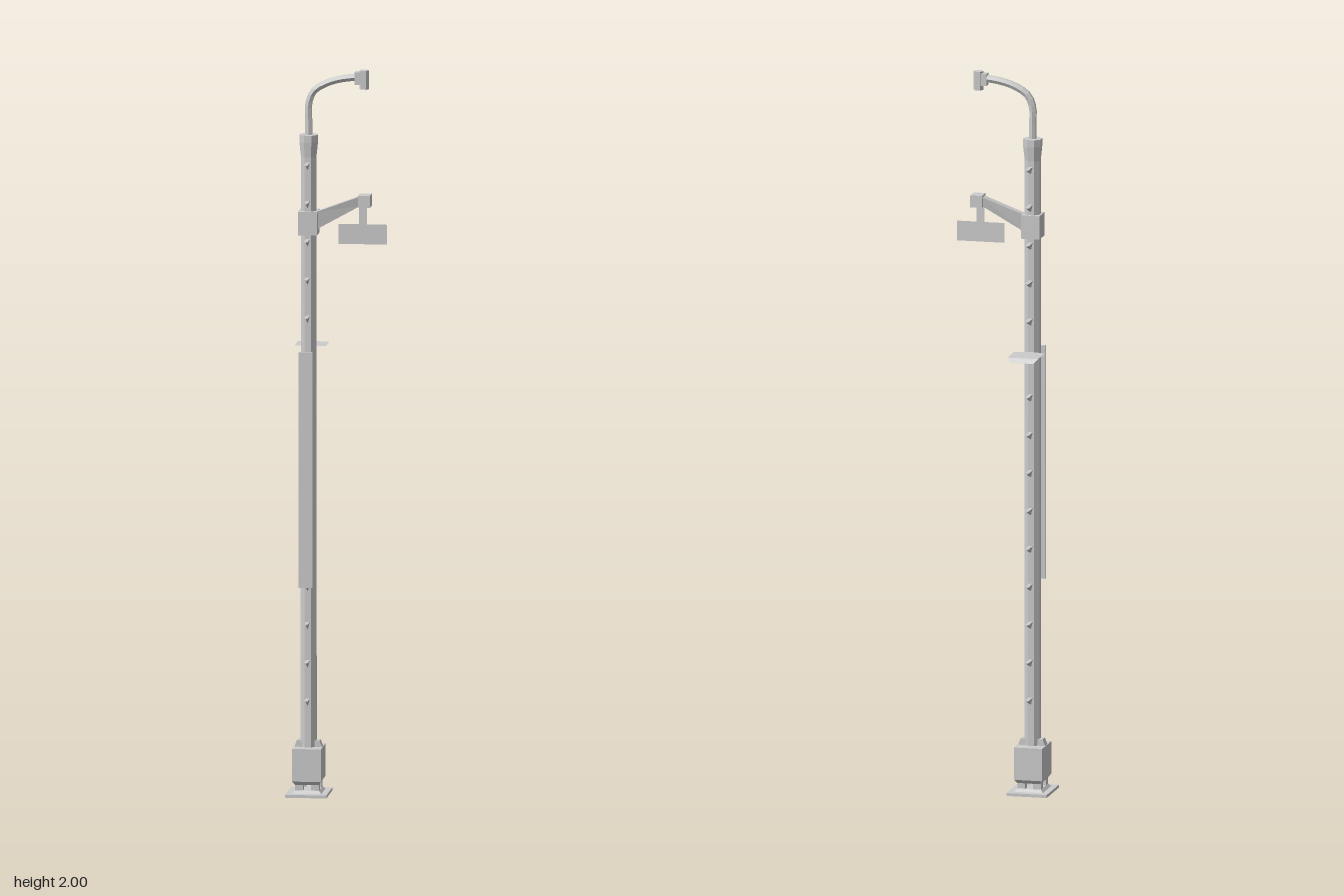
import * as THREE from 'three';

const PX = -0.082, PZ = 0.025; // pole axis

export function createModel() {
  const root = new THREE.Group();
  root.name = 'utilityPole';
  const mat = new THREE.MeshStandardMaterial({ color: 0xcccccc, flatShading: true });
  const thin = new THREE.MeshStandardMaterial({ color: 0xcccccc, flatShading: true, side: THREE.DoubleSide });

  // All positions are relative to the pole axis
  const pole = new THREE.Group();
  pole.name = 'poleAssembly';
  pole.position.set(PX, 0, PZ);
  root.add(pole);

  const add = (name, geo, x = 0, y = 0, z = 0, m = mat) => {
    const mesh = new THREE.Mesh(geo, m);
    mesh.name = name;
    mesh.position.set(x, y, z);
    pole.add(mesh);
    return mesh;
  };
  const box = (name, w, h, d, x, y, z) => add(name, new THREE.BoxGeometry(w, h, d), x, y, z);

  // Box whose top and bottom faces have different sizes
  const taper = (name, w0, d0, w1, d1, y0, y1) => {
    const g = new THREE.BoxGeometry(1, y1 - y0, 1);
    const p = g.attributes.position;
    for (let i = 0; i < p.count; i++) {
      const up = p.getY(i) > 0;
      p.setX(i, p.getX(i) * (up ? w1 : w0));
      p.setZ(i, p.getZ(i) * (up ? d1 : d0));
    }
    g.computeVertexNormals();
    return add(name, g, 0, (y0 + y1) / 2, 0);
  };

  // Solid between two equal rings, counter-clockwise as seen from the far end b
  const loft = (a, b) => {
    const n = a.length, tri = [];
    for (let i = 0; i < n; i++) {
      const j = (i + 1) % n;
      tri.push(a[i], a[j], b[j], a[i], b[j], b[i]);
    }
    for (let i = 1; i < n - 1; i++) tri.push(a[0], a[i + 1], a[i], b[0], b[i], b[i + 1]);
    const g = new THREE.BufferGeometry();
    g.setAttribute('position', new THREE.Float32BufferAttribute(tri.flat(), 3));
    g.computeVertexNormals();
    return g;
  };

  // Base plate, feet, square footing and the collar on top of it
  box('basePlate', 0.113, 0.008, 0.139, 0, 0.004, 0);
  taper('plinth', 0.08, 0.095, 0.066, 0.08, 0.008, 0.016);
  for (const sx of [-1, 1]) for (const sz of [-1, 1])
    box('foot', 0.022, 0.03, 0.022, sx * 0.022, 0.023, sz * 0.029);
  taper('footingChamfer', 0.064, 0.088, 0.079, 0.104, 0.032, 0.042);
  box('footing', 0.079, 0.09, 0.104, 0, 0.087, 0);
  taper('footingCollar', 0.076, 0.026, 0.062, 0.026, 0.132, 0.15);

  // Octagonal mast with a flared head
  const c = Math.cos(Math.PI / 8);
  const profile = [[0, 0.1], [0.021, 0.1], [0.0205, 1.76], [0.0245, 1.80], [0.0245, 1.82], [0, 1.82]]
    .map(([r, y]) => new THREE.Vector2(r / c, y));
  add('mast', new THREE.LatheGeometry(profile, 8, Math.PI / 8));

  // Climbing pegs: wedges with a flat top and a V-shaped underside
  const peg = loft(
    [[-0.0055, 0.005, 0.015], [0, -0.017, 0.015], [0.0055, 0.005, 0.015]],
    [[-0.0055, 0.005, 0.067], [0, 0.001, 0.067], [0.0055, 0.005, 0.067]]);
  for (let i = 0; i < 15; i++) {
    const y = 0.262 + i * 0.1056;
    add('frontPeg', peg, 0, y);
    add('backPeg', peg, 0, y).rotation.y = Math.PI;
  }

  // Long narrow board carried by the front pegs
  box('frontBoard', 0.038, 0.65, 0.006, 0, 0.905, 0.069);

  // Thin rear shelf reaching the mast, with a turned-down lip
  const s = new THREE.Shape();
  s.moveTo(-0.043, 0.039);
  s.lineTo(-0.043, 0.112);
  s.lineTo(0.043, 0.112);
  s.lineTo(0.043, 0.039);
  s.quadraticCurveTo(0, 0.018, -0.043, 0.039);
  const shelf = new THREE.ShapeGeometry(s, 8);
  shelf.rotateX(-Math.PI / 2);
  add('rearShelf', shelf, 0, 1.231, 0, thin);
  const lip = new THREE.BufferGeometry();
  lip.setAttribute('position', new THREE.Float32BufferAttribute([
    -0.043, 1.231, -0.112, 0.043, 1.231, -0.112, 0.032, 1.219, -0.122, -0.032, 1.219, -0.122], 3));
  lip.setIndex([0, 1, 2, 0, 2, 3]);
  lip.computeVertexNormals();
  add('rearShelfLip', lip, 0, 0, 0, thin);

  // Clamp and rising bracket arm with an end block
  box('bracketClamp', 0.052, 0.065, 0.058, 0, 1.578, 0);
  add('bracketArm', loft(
    [[0.024, 1.609, 0.012], [0.024, 1.56, 0.004], [0.024, 1.56, -0.004], [0.024, 1.609, -0.012]],
    [[0.142, 1.653, 0.012], [0.142, 1.626, 0.006], [0.142, 1.626, -0.006], [0.142, 1.653, -0.012]]));
  box('bracketEnd', 0.033, 0.033, 0.04, 0.154, 1.64, 0);

  // Flat hanging sign with its strap, near the front of the end block
  const sign = new THREE.Shape([
    [0.083, 1.522], [0.216, 1.522], [0.216, 1.577], [0.161, 1.577],
    [0.161, 1.626], [0.139, 1.626], [0.139, 1.577], [0.083, 1.577],
  ].map(([x, y]) => new THREE.Vector2(x, y)));
  add('hangingSign', new THREE.ShapeGeometry(sign), 0, 0, 0.0135, thin);

  // Curved top arm
  const path = new THREE.CatmullRomCurve3([
    [0, 1.81], [0, 1.86], [0, 1.905], [0.014, 1.94], [0.05, 1.963], [0.09, 1.975], [0.145, 1.982],
  ].map(([x, y]) => new THREE.Vector3(x, y, 0)));
  add('topArm', new THREE.TubeGeometry(path, 16, 0.0105, 6, false), 0, 0, 0, thin);

  // Small head on the arm: a block and an upright six-sided body
  box('headBlock', 0.02, 0.034, 0.021, 0.137, 1.978, 0);
  add('headBody', new THREE.CylinderGeometry(0.0135, 0.0135, 0.052, 6, 1, false, Math.PI / 2), 0.152, 1.974, 0);

  return root;
}
